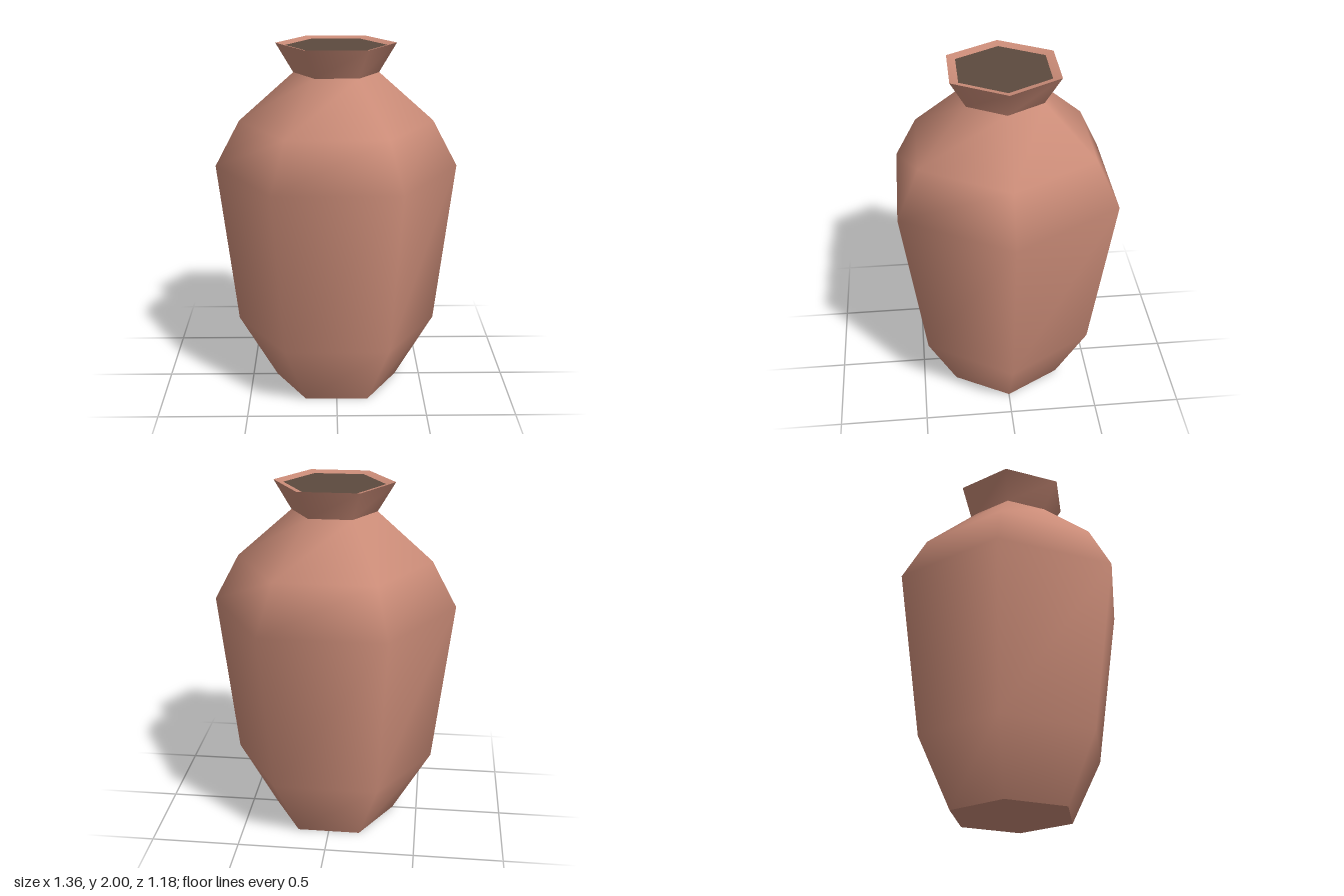
import * as THREE from 'three';

const SIDES = 6;

// Smooth six-sided loft; each ring is [x radius, y, z scale]
function loft(rings) {
  const pos = [], idx = [];
  for (const [r, y, zs = 1] of rings) {
    for (let i = 0; i < SIDES; i++) {
      const a = (i / SIDES) * Math.PI * 2;
      pos.push(r * Math.cos(a), y, r * zs * Math.sin(a));
    }
  }
  for (let k = 0; k < rings.length - 1; k++) {
    for (let i = 0; i < SIDES; i++) {
      const n = (i + 1) % SIDES;
      const a = k * SIDES + i, b = k * SIDES + n;
      idx.push(a, a + SIDES, b, b, a + SIDES, b + SIDES);
    }
  }
  const g = new THREE.BufferGeometry();
  g.setAttribute('position', new THREE.Float32BufferAttribute(pos, 3));
  g.setIndex(idx);
  g.computeVertexNormals();
  return g;
}

// Flat hexagon facing up (dir = 1) or down (dir = -1)
function hexagon(r, y, dir) {
  return new THREE.CircleGeometry(r, SIDES).rotateX(-dir * Math.PI / 2).translate(0, y, 0);
}

export function createModel() {
  const clay = new THREE.MeshStandardMaterial({ color: 0xcb8c78 });
  clay.name = 'clay';
  const dark = new THREE.MeshStandardMaterial({ color: 0x5c4a3e });
  dark.name = 'darkInside';

  const group = new THREE.Group();
  group.name = 'vase';
  const add = (name, geometry, material) => {
    const mesh = new THREE.Mesh(geometry, material);
    mesh.name = name;
    group.add(mesh);
  };

  // Body from foot to neck
  add('body', loft([
    [0.355, 0], [0.574, 0.375, 0.94], [0.68, 1.31], [0.54, 1.57], [0.235, 1.84],
  ]), clay);
  add('base', hexagon(0.355, 0, -1), clay);

  // Flared lip, its slightly sunken rim and the dark opening
  add('lip', loft([[0.235, 1.84], [0.33, 2]]), clay);
  add('rim', loft([[0.33, 2], [0.277, 1.988]]), clay);
  add('opening', hexagon(0.277, 1.988, 1), dark);

  return group;
}
